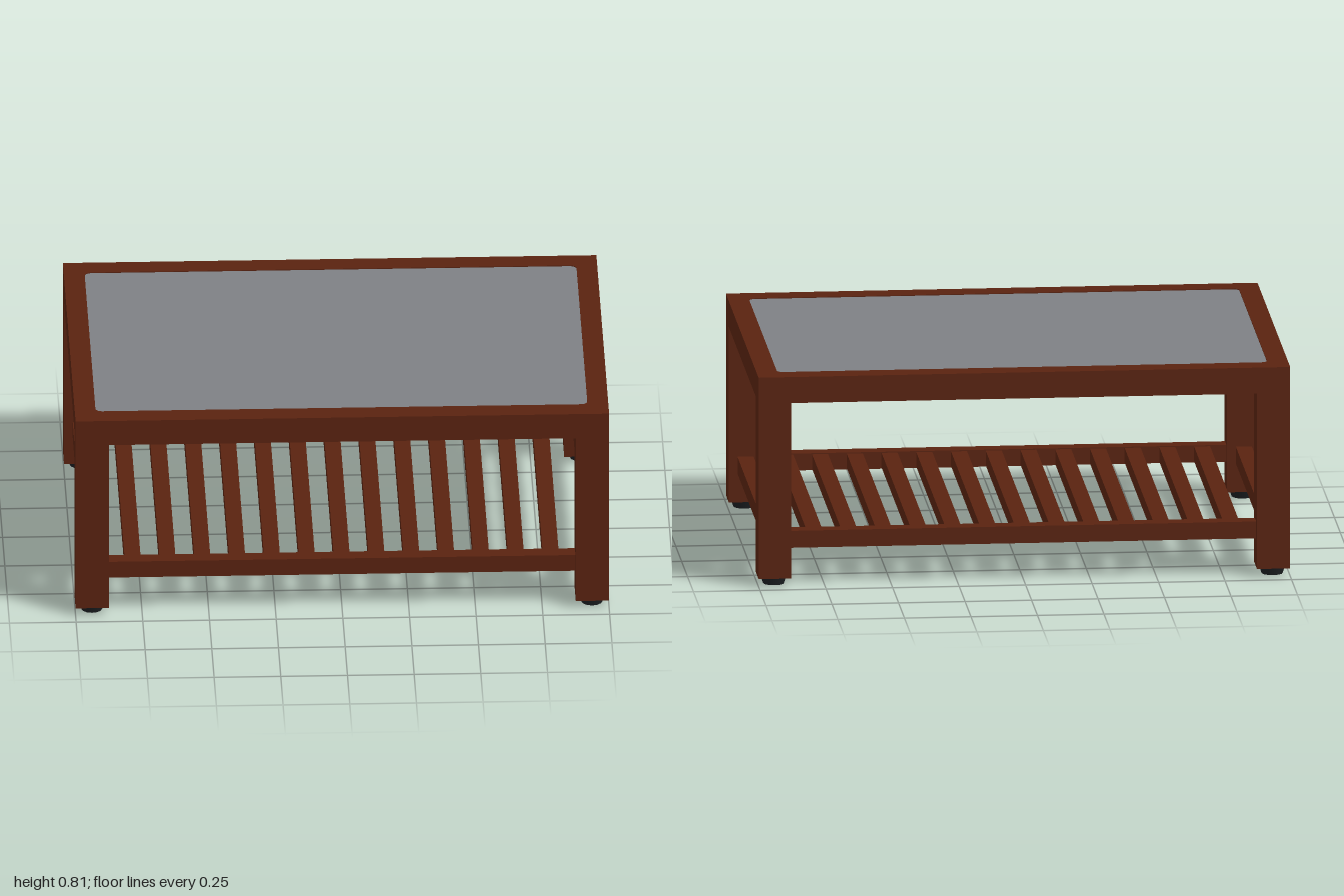
import * as THREE from 'three';

const wood = new THREE.MeshStandardMaterial({ color: 0x5a2310 });
wood.name = 'redBrownWood';
const glass = new THREE.MeshStandardMaterial({ color: 0x7e8084 });
glass.name = 'greyGlass';
const rubber = new THREE.MeshStandardMaterial({ color: 0x1c1f22 });
rubber.name = 'blackRubber';

const W = 1, D = 0.693, H = 0.805;   // half width, half depth, height
const LEG = 0.125;                   // square leg section
const FOOT = 0.03;
const LEG_X = W - LEG / 2, LEG_Z = D - LEG / 2;
const APRON = 0.1;                   // height of the top frame

export function createModel() {
  const table = new THREE.Group();
  table.name = 'coffeeTable';

  function add(parent, name, geometry, material, x, y, z) {
    const mesh = new THREE.Mesh(geometry, material);
    mesh.name = name;
    mesh.position.set(x, y, z);
    parent.add(mesh);
    return mesh;
  }
  const box = (parent, name, w, h, d, x, y, z) =>
    add(parent, name, new THREE.BoxGeometry(w, h, d), wood, x, y, z);

  // Rounded rectangle given by half sizes and corner radius
  function roundedRect(target, hx, hz, r) {
    target.moveTo(-hx + r, -hz);
    target.lineTo(hx - r, -hz);
    target.absarc(hx - r, -hz + r, r, -Math.PI / 2, 0);
    target.absarc(hx - r, hz - r, r, 0, Math.PI / 2);
    target.absarc(-hx + r, hz - r, r, Math.PI / 2, Math.PI);
    target.absarc(-hx + r, -hz + r, r, Math.PI, Math.PI * 1.5);
    return target;
  }
  function slab(shape, depth) {
    const g = new THREE.ExtrudeGeometry(shape, { depth, bevelEnabled: false, curveSegments: 4 });
    return g.rotateX(-Math.PI / 2);
  }

  // Top frame with a rounded opening
  const frame = new THREE.Shape();
  frame.moveTo(-W, -D).lineTo(W, -D).lineTo(W, D).lineTo(-W, D).closePath();
  frame.holes.push(roundedRect(new THREE.Path(), 0.922, 0.607, 0.025));
  add(table, 'topFrame', slab(frame, APRON), wood, 0, H - APRON, 0);

  // Inset glass pane
  const pane = roundedRect(new THREE.Shape(), 0.922, 0.607, 0.025);
  add(table, 'glassPane', slab(pane, 0.025), glass, 0, H - 0.028, 0);

  // Legs and tapered feet
  const legHeight = H - APRON - FOOT;
  for (const sx of [-1, 1]) {
    for (const sz of [-1, 1]) {
      const leg = new THREE.Group();
      leg.name = (sz > 0 ? 'front' : 'back') + (sx > 0 ? 'Left' : 'Right') + 'Leg';
      leg.position.set(sx * LEG_X, 0, sz * LEG_Z);
      table.add(leg);
      box(leg, 'post', LEG, legHeight, LEG, 0, FOOT + legHeight / 2, 0);
      // Inner part of the leg rises inside the frame up to the glass
      box(leg, 'postTop', LEG - 0.01, 0.07, LEG - 0.01, -sx * 0.005, H - APRON + 0.035, -sz * 0.005);
      add(leg, 'foot', new THREE.CylinderGeometry(0.05, 0.04, FOOT, 12), rubber, 0, FOOT / 2, 0);
    }
  }

  // Lower shelf: four rails and a row of slats across the depth
  const shelf = new THREE.Group();
  shelf.name = 'shelf';
  table.add(shelf);
  const railH = 0.065, railW = 0.06, railY = 0.173;
  const innerX = LEG_X - LEG / 2, innerZ = LEG_Z - LEG / 2;
  for (const s of [-1, 1]) {
    box(shelf, 'longRail', innerX * 2, railH, railW, 0, railY, s * LEG_Z);
    box(shelf, 'sideRail', railW, railH, innerZ * 2, s * LEG_X, railY, 0);
  }
  const slats = 13, pitch = (LEG_X - railW / 2) * 2 / (slats + 0.9);
  for (let i = 0; i < slats; i++) {
    const x = (i - (slats - 1) / 2) * pitch;
    box(shelf, 'slat', 0.06, railH - 0.008, (LEG_Z - railW / 2) * 2, x, railY, 0);
  }

  return table;
}
